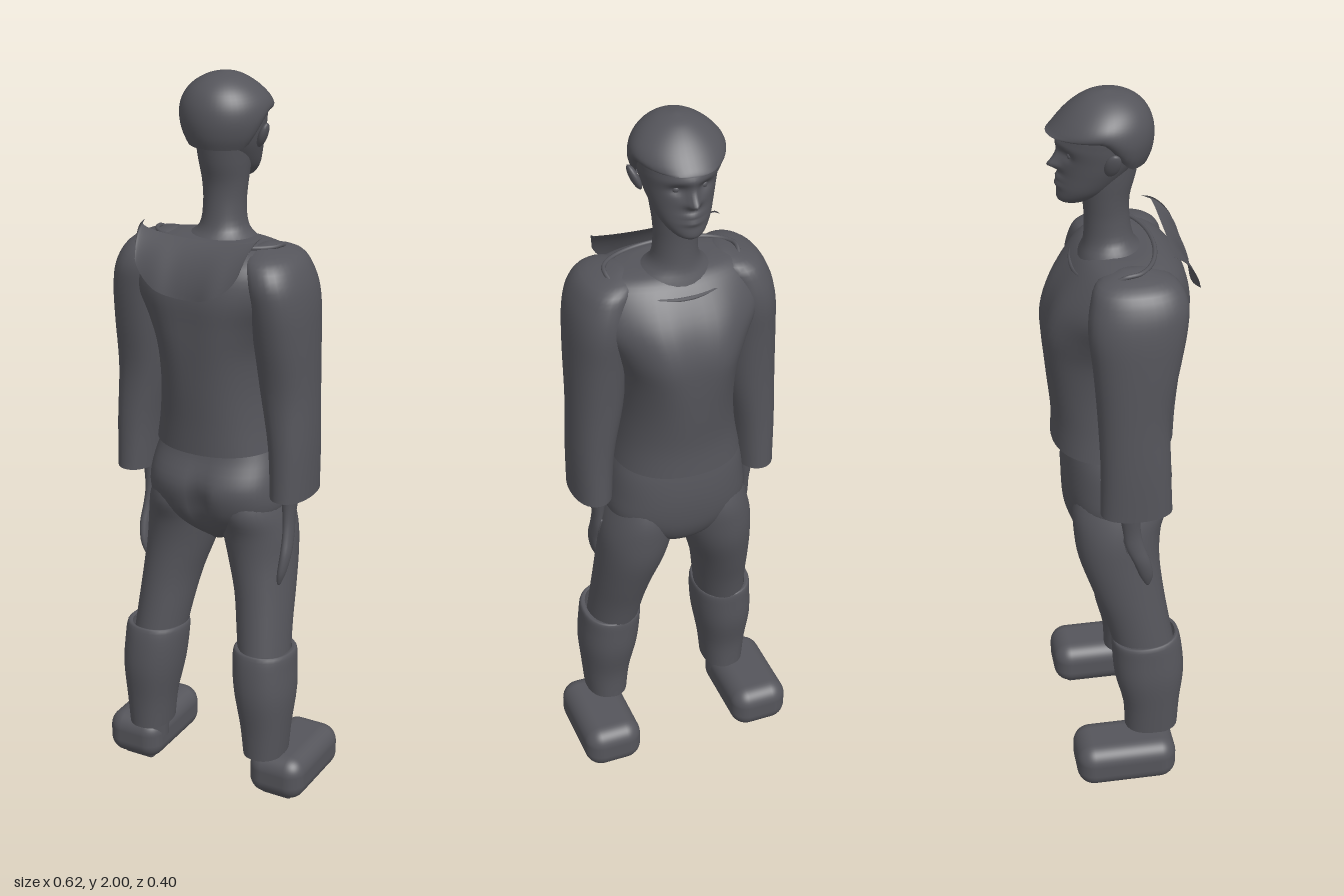
import * as THREE from 'three';
import { RoundedBoxGeometry } from 'three/addons/geometries/RoundedBoxGeometry.js';
import { ParametricGeometry } from 'three/addons/geometries/ParametricGeometry.js';

const charcoal = new THREE.MeshStandardMaterial({ color: 0x55555b, side: THREE.DoubleSide });
charcoal.name = 'charcoal';

function add(parent, name, geometry) {
  const mesh = new THREE.Mesh(geometry, charcoal);
  mesh.name = name;
  parent.add(mesh);
  return mesh;
}

// smooth interpolation between listed cross-sections
function spline(a, b, c, d, t) {
  const v0 = (c - a) / 2, v1 = (d - b) / 2;
  return (2 * b - 2 * c + v0 + v1) * t ** 3 + (-3 * b + 3 * c - 2 * v0 - v1) * t * t + v0 * t + b;
}

// skin over rings [y, centreX, radiusX, zFront, zBack], listed bottom to top
function loft(rings, { side = 1, sides = 32, steps = 4, power = 2, capBottom = false, capTop = true, shape = null } = {}) {
  const pos = [], index = [], v = new THREE.Vector3();
  const at = (i) => rings[Math.max(0, Math.min(rings.length - 1, i))];
  const rows = (rings.length - 1) * steps + 1;
  const round = (n) => Math.sign(n) * Math.abs(n) ** (2 / power);
  for (let r = 0; r < rows; r++) {
    const i = Math.min(Math.floor(r / steps), rings.length - 2), t = r / steps - i;
    const [y, cx, rx, zf, zb] = at(i).map((_, k) => spline(at(i - 1)[k], at(i)[k], at(i + 1)[k], at(i + 2)[k], t));
    for (let j = 0; j < sides; j++) {
      const a = (j / sides) * Math.PI * 2;
      v.set(side * cx + rx * round(Math.cos(a)), y, (zf + zb) / 2 + ((zb - zf) / 2) * round(Math.sin(a)));
      if (shape) shape(v);
      pos.push(v.x, v.y, v.z);
    }
  }
  for (let r = 0; r < rows - 1; r++) {
    for (let j = 0; j < sides; j++) {
      const a = r * sides + j, b = r * sides + ((j + 1) % sides);
      index.push(a, a + sides, b, b, a + sides, b + sides);
    }
  }
  const cap = (row, top) => {
    const [y, cx, , zf, zb] = top ? rings[rings.length - 1] : rings[0];
    v.set(side * cx, y, (zf + zb) / 2);
    if (shape) shape(v);
    const c = pos.length / 3;
    pos.push(v.x, v.y, v.z);
    for (let j = 0; j < sides; j++) {
      const a = row * sides + j, b = row * sides + ((j + 1) % sides);
      if (top) index.push(a, c, b); else index.push(a, b, c);
    }
  };
  if (capBottom) cap(0, false);
  if (capTop) cap(rows - 1, true);
  const geometry = new THREE.BufferGeometry();
  geometry.setAttribute('position', new THREE.Float32BufferAttribute(pos, 3));
  geometry.setIndex(index);
  geometry.computeVertexNormals();
  return geometry;
}

const bump = (d, width) => Math.exp(-((d / width) ** 2));

// pushes out the nose, lips and brow, and sinks the eye sockets
function sculptFace(v) {
  if (v.z > -0.09) return;
  const x = v.x, y = v.y;
  const bridge = y > 1.815 ? bump(y - 1.815, 0.035) : bump(y - 1.815, 0.012);
  v.z -= 0.024 * bump(x, 0.013) * bridge;
  v.z -= 0.008 * bump(x, 0.026) * bump(y - 1.814, 0.011);
  v.z -= 0.008 * bump(x, 0.026) * (bump(y - 1.782, 0.008) + bump(y - 1.764, 0.008));
  v.z -= 0.006 * bump(x, 0.06) * bump(y - 1.875, 0.013);
  v.z += 0.012 * bump(Math.abs(x) - 0.036, 0.02) * bump(y - 1.85, 0.014);
}

// lifts the hair edge off the forehead while it stays low at the nape
function cutHair(v) {
  const lift = THREE.MathUtils.smoothstep(-v.z, -0.03, 0.06);
  v.y += 0.083 * lift * ((2 - v.y) / 0.18) ** 2;
}

// chest and shoulder blade fullness either side of the centre line
function shapeJacket(v) {
  const high = bump(v.y - 1.36, 0.13);
  v.z += (v.z < 0 ? -0.014 : 0.008) * bump(Math.abs(v.x) - 0.085, 0.055) * high;
}

// shallow crease down the back of the seat
function shapeSeat(v) {
  if (v.z > 0.02) v.z -= 0.028 * bump(v.x, 0.025) * bump(v.y - 0.86, 0.08);
}

export function createModel() {
  const model = new THREE.Group();
  model.name = 'standingFigure';

  // head and neck, facing -z
  const head = new THREE.Group();
  head.name = 'head';
  model.add(head);
  add(head, 'face', loft([
    [1.712, 0, 0.018, -0.14, -0.085], [1.725, 0, 0.04, -0.153, -0.06], [1.755, 0, 0.064, -0.152, -0.015],
    [1.80, 0, 0.082, -0.146, 0.03], [1.84, 0, 0.093, -0.145, 0.06], [1.88, 0, 0.1, -0.148, 0.072],
    [1.92, 0, 0.1, -0.14, 0.075], [1.955, 0, 0.07, -0.11, 0.05], [1.975, 0, 0.02, -0.06, 0],
  ], { sides: 72, steps: 8, capBottom: true, shape: sculptFace }));
  add(head, 'hair', loft([
    [1.82, 0, 0.1, -0.178, 0.074], [1.85, 0, 0.112, -0.171, 0.085], [1.89, 0, 0.118, -0.158, 0.09],
    [1.93, 0, 0.11, -0.138, 0.084], [1.965, 0, 0.085, -0.11, 0.064], [1.99, 0, 0.047, -0.075, 0.028],
    [2.0, 0, 0.006, -0.035, -0.02],
  ], { sides: 48, shape: cutHair }));
  add(head, 'neck', loft([
    [1.50, 0, 0.14, -0.12, 0.09], [1.56, 0, 0.115, -0.1, 0.075], [1.60, 0, 0.066, -0.088, 0.042],
    [1.66, 0, 0.056, -0.085, 0.03], [1.72, 0, 0.06, -0.09, 0.03], [1.78, 0, 0.068, -0.1, 0.045],
    [1.86, 0, 0.075, -0.1, 0.06],
  ]));

  // jacket body with an open hem, broadening into the shoulders
  const jacket = new THREE.Group();
  jacket.name = 'jacket';
  model.add(jacket);
  add(jacket, 'jacketBody', loft([
    [1.02, 0, 0.172, -0.18, 0.145], [1.1, 0, 0.158, -0.178, 0.15], [1.2, 0, 0.15, -0.187, 0.16],
    [1.3, 0, 0.158, -0.193, 0.168], [1.38, 0, 0.19, -0.19, 0.172], [1.46, 0, 0.235, -0.165, 0.175],
    [1.53, 0, 0.232, -0.122, 0.158], [1.57, 0, 0.19, -0.085, 0.115], [1.583, 0, 0.1, -0.05, 0.07],
  ], { sides: 56, power: 2.2, shape: shapeJacket }));

  // collar edge dipping to the front of the neckline
  const neckline = [];
  for (let i = 0; i < 24; i++) {
    const a = (i / 24) * Math.PI * 2, s = Math.sin(a);
    neckline.push(new THREE.Vector3(0.178 * Math.cos(a), 1.58 - 0.05 * Math.max(0, -s), s < 0 ? 0.119 * s : 0.09 * s));
  }
  add(jacket, 'collar', new THREE.TubeGeometry(new THREE.CatmullRomCurve3(neckline, true), 72, 0.006, 8, true));

  // hood lying folded down the back, curling over towards the neck
  add(jacket, 'hood', new ParametricGeometry((u, t, out) => {
    const c = 2 * u - 1, s = Math.sqrt(1 - c * c);
    const y = THREE.MathUtils.lerp(1.622 - 0.022 * s, 1.575 - 0.115 * s, t);
    const arc = Math.sqrt(Math.max(0, 1 - Math.max(0, (y - 1.47) / 0.152) ** 2));
    out.set((0.17 - 0.015 * t) * c, y, 0.09 + 0.1 * arc + 0.01 * bump(Math.abs(c) - 0.5, 0.25) * t - 0.02 * s * (1 - t));
  }, 48, 12));

  for (const side of [1, -1]) {
    const prefix = side > 0 ? 'left' : 'right';

    // ear and eye
    const ear = add(head, prefix + 'Ear', new THREE.SphereGeometry(1, 16, 12));
    ear.scale.set(0.011, 0.036, 0.02);
    ear.position.set(side * 0.107, 1.848, -0.03);
    ear.rotation.set(0.2, 0, -side * 0.4);
    const eye = add(head, prefix + 'Eye', new THREE.SphereGeometry(0.011, 14, 10));
    eye.position.set(side * 0.035, 1.849, -0.12);

    // sleeve, open at the cuff
    add(jacket, prefix + 'Sleeve', loft([
      [0.912, 0.232, 0.054, -0.085, 0.105], [1.05, 0.228, 0.06, -0.083, 0.1], [1.2, 0.213, 0.072, -0.088, 0.1],
      [1.34, 0.206, 0.077, -0.098, 0.125], [1.44, 0.2, 0.078, -0.108, 0.142], [1.51, 0.187, 0.075, -0.1, 0.145],
      [1.56, 0.165, 0.062, -0.078, 0.115], [1.582, 0.14, 0.012, -0.01, 0.04],
    ], { side, power: 2.2 }));

    // forearm tapering into the fingers
    add(model, prefix + 'Hand', loft([
      [0.645, 0.205, 0.005, 0.04, 0.052], [0.68, 0.212, 0.011, 0.024, 0.06], [0.73, 0.217, 0.014, 0.006, 0.052],
      [0.78, 0.215, 0.014, -0.014, 0.036], [0.83, 0.212, 0.016, -0.022, 0.026], [0.9, 0.212, 0.024, -0.032, 0.026],
      [1.0, 0.215, 0.032, -0.04, 0.04],
    ], { side, sides: 18, capBottom: true }));
    const thumb = add(model, prefix + 'Thumb', new THREE.CapsuleGeometry(0.009, 0.04, 4, 10));
    thumb.position.set(side * 0.207, 0.785, -0.01);
    thumb.rotation.x = -0.1;

    // trouser leg
    add(model, prefix + 'TrouserLeg', loft([
      [0.38, 0.168, 0.068, -0.03, 0.135], [0.5, 0.155, 0.074, -0.06, 0.115], [0.6, 0.143, 0.081, -0.095, 0.1],
      [0.7, 0.125, 0.094, -0.128, 0.092], [0.78, 0.113, 0.1, -0.139, 0.098], [0.85, 0.105, 0.09, -0.138, 0.118],
      [0.92, 0.1, 0.065, -0.11, 0.1], [0.97, 0.1, 0.03, -0.06, 0.05],
    ], { side }));

    // gaiter over the lower leg
    add(model, prefix + 'Gaiter', loft([
      [0.135, 0.182, 0.058, -0.01, 0.138], [0.22, 0.181, 0.067, -0.015, 0.143], [0.32, 0.176, 0.081, -0.038, 0.154],
      [0.4, 0.17, 0.084, -0.044, 0.15], [0.445, 0.168, 0.082, -0.044, 0.14], [0.447, 0.168, 0.068, -0.035, 0.13],
    ], { side, power: 2.2, capTop: false, shape: (v) => { if (v.y > 0.4) v.y += 0.07 * (v.z - 0.05) * (v.y - 0.4) / 0.047; } }));

    // ankle, chunky shoe and sole
    const ankle = add(model, prefix + 'Ankle', new THREE.CylinderGeometry(0.05, 0.045, 0.12, 20));
    ankle.position.set(side * 0.185, 0.14, 0.06);
    const shoe = add(model, prefix + 'Shoe', new RoundedBoxGeometry(0.165, 0.128, 0.28, 6, 0.048));
    shoe.position.set(side * 0.226, 0.074, -0.02);
    const sole = add(model, prefix + 'Sole', new RoundedBoxGeometry(0.095, 0.03, 0.21, 3, 0.012));
    sole.position.set(side * 0.222, 0.015, -0.02);
  }

  // trouser seat flowing over the tops of the legs
  add(model, 'trouserSeat', loft([
    [0.725, 0, 0.02, -0.06, 0.02], [0.76, 0, 0.085, -0.112, 0.065], [0.8, 0, 0.15, -0.137, 0.102],
    [0.85, 0, 0.191, -0.149, 0.13], [0.92, 0, 0.19, -0.153, 0.141], [1.0, 0, 0.174, -0.146, 0.105],
    [1.08, 0, 0.14, -0.13, 0.09],
  ], { sides: 56, power: 2.4, capBottom: true, shape: shapeSeat }));

  return model;
}
